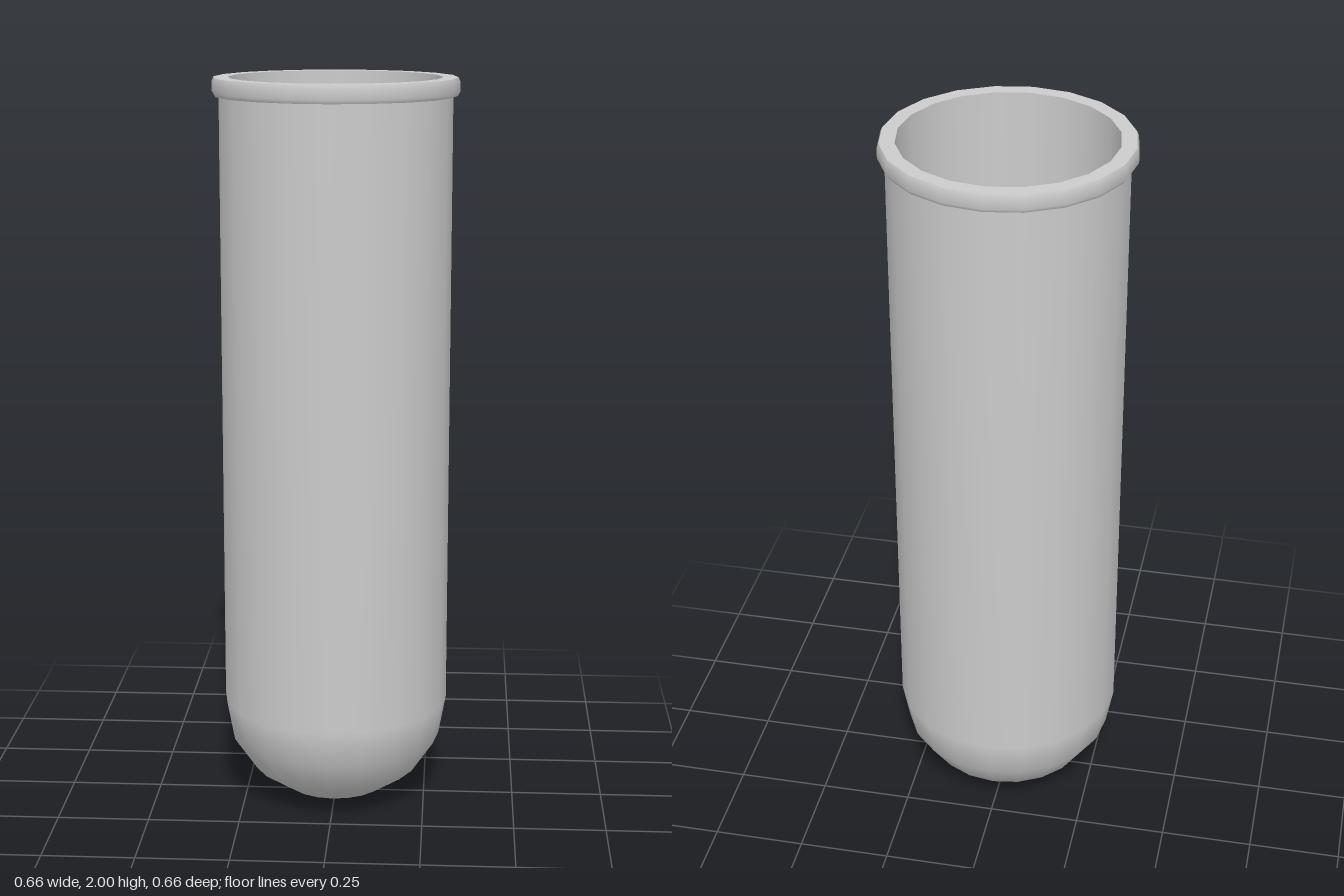
import * as THREE from 'three';

const SIDES = 20;

export function createModel() {
  const group = new THREE.Group();
  const material = new THREE.MeshStandardMaterial({ color: 0xcccccc });

  // Revolves an [radius, y] profile; upward profiles face out, downward ones face in.
  const turn = (name, profile) => {
    const points = profile.map(([r, y]) => new THREE.Vector2(r, y));
    const mesh = new THREE.Mesh(new THREE.LatheGeometry(points, SIDES), material);
    mesh.name = name;
    group.add(mesh);
  };

  // Outer glass: rounded bottom and straight wall
  turn('outerWall', [
    [0, 0], [0.138, 0.027], [0.228, 0.087], [0.29, 0.178], [0.31, 0.285], [0.31, 1.952],
  ]);

  // Rounded lip, with a flat underside and top
  turn('lipUnderside', [[0.31, 1.952], [0.322, 1.952]]);
  turn('lipEdge', [[0.322, 1.952], [0.328, 1.962], [0.328, 1.988], [0.323, 2]]);
  turn('lipTop', [[0.323, 2], [0.283, 2]]);

  // Inside of the tube, open at the top
  turn('innerWall', [
    [0.283, 2], [0.283, 0.285], [0.263, 0.188], [0.208, 0.106], [0.126, 0.052], [0, 0.027],
  ]);

  return group;
}
